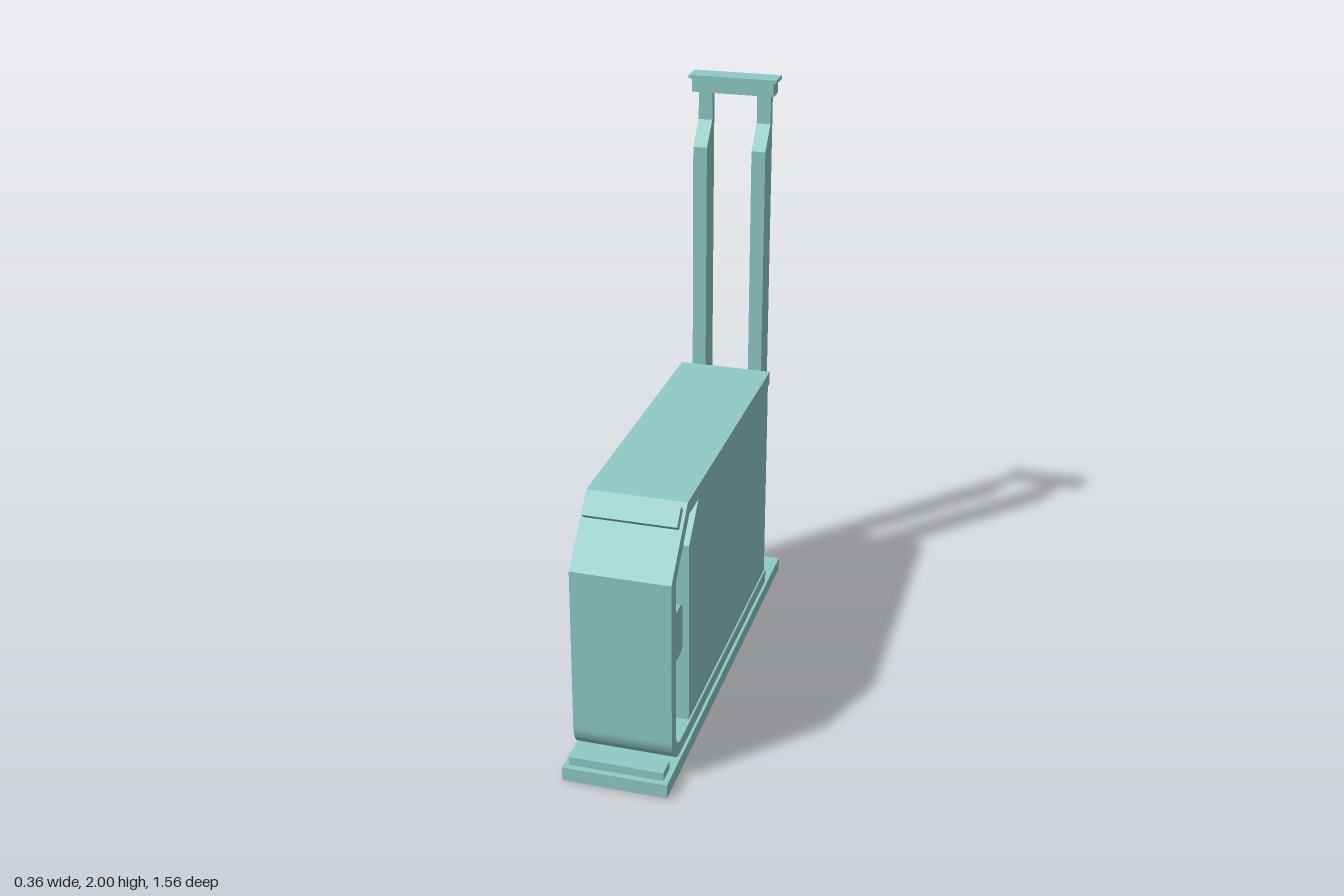
import * as THREE from 'three';
import { toCreasedNormals } from 'three/addons/utils/BufferGeometryUtils.js';

export function createModel() {
  const model = new THREE.Group();
  const teal = new THREE.MeshStandardMaterial({ color: 0x8fcac5 });
  teal.name = 'pale teal';

  const add = (name, geometry, x = 0, y = 0, z = 0) => {
    const mesh = new THREE.Mesh(geometry, teal);
    mesh.name = name;
    mesh.position.set(x, y, z);
    model.add(mesh);
  };
  // Box given by its lower and upper limits
  const box = (name, x0, x1, y0, y1, z0, z1) =>
    add(name, new THREE.BoxGeometry(x1 - x0, y1 - y0, z1 - z0),
      (x0 + x1) / 2, (y0 + y1) / 2, (z0 + z1) / 2);
  // Side profile in (z, y), extruded across x and centred on the given x
  const profile = (name, shape, width, x = 0) => {
    const g = new THREE.ExtrudeGeometry(shape, { depth: width, bevelEnabled: false, curveSegments: 10 });
    g.translate(0, 0, -width / 2).rotateY(-Math.PI / 2);
    add(name, toCreasedNormals(g, 0.5), x);
  };
  const poly = (points) => new THREE.Shape(points.map(([z, y]) => new THREE.Vector2(z, y)));

  // Base: shallow tray, open underneath
  box('baseTop', -0.178, 0.178, 0.04, 0.05, -0.78, 0.78);
  for (const s of [-1, 1]) {
    box('baseSideRim', s * 0.168 - 0.01, s * 0.168 + 0.01, 0, 0.04, -0.78, 0.78);
    box('baseEndRim', -0.158, 0.158, 0, 0.04, s * 0.77 - 0.01, s * 0.77 + 0.01);
  }
  box('frontStep', -0.16, 0.16, 0.05, 0.08, 0.69, 0.76);

  // Wraparound band: bottom, rounded front corner, sloped nose and top
  const band = new THREE.Shape();
  band.moveTo(-0.59, 0.05);
  band.lineTo(0.59, 0.05);
  band.absarc(0.59, 0.15, 0.1, -Math.PI / 2, 0, false);
  band.lineTo(0.69, 0.73);
  band.lineTo(0.505, 0.93);
  band.lineTo(-0.59, 0.93);
  band.lineTo(-0.59, 0.882);
  band.lineTo(0.488, 0.882);
  band.lineTo(0.642, 0.715);
  band.lineTo(0.642, 0.15);
  band.absarc(0.59, 0.15, 0.053, 0, -Math.PI / 2, true);
  band.lineTo(-0.59, 0.097);
  profile('bodyBand', band, 0.336);

  // Housing: two side panels joined by a front wall, open at the rear
  const side = poly([[-0.59, 0.09], [0.47, 0.09], [0.47, 0.755], [0.345, 0.885], [-0.59, 0.885]]);
  for (const s of [-1, 1]) profile('sidePanel', side, 0.01, s * 0.157);
  profile('housingFront', poly([[0.46, 0.09], [0.47, 0.09], [0.47, 0.755], [0.345, 0.885],
    [0.331, 0.885], [0.46, 0.751]]), 0.304);

  // Control pad lying on the sloped nose
  profile('controlPad', poly([[0.516, 0.906], [0.561, 0.857], [0.59, 0.882], [0.545, 0.933]]), 0.314);

  // Rounded block on the inner face of the nose
  const block = new THREE.Shape();
  block.moveTo(0.645, 0.4);
  block.lineTo(0.645, 0.578);
  block.lineTo(0.545, 0.578);
  block.absarc(0.545, 0.553, 0.025, Math.PI / 2, Math.PI, false);
  block.lineTo(0.52, 0.425);
  block.absarc(0.545, 0.425, 0.025, Math.PI, Math.PI * 1.5, false);
  profile('innerBlock', block, 0.31);

  // Twin posts with a deeper middle section
  const post = poly([[-0.702, 0.05], [-0.675, 0.05], [-0.675, 0.17], [-0.605, 0.245],
    [-0.605, 1.752], [-0.675, 1.835], [-0.675, 1.94], [-0.702, 1.94]]);
  for (const s of [-1, 1]) profile('post', post, 0.05, s * 0.106);

  // Crosspiece and cap
  box('crosspiece', -0.147, 0.147, 1.94, 1.99, -0.707, -0.643);
  box('cap', -0.158, 0.158, 1.988, 2, -0.72, -0.637);

  return model;
}
